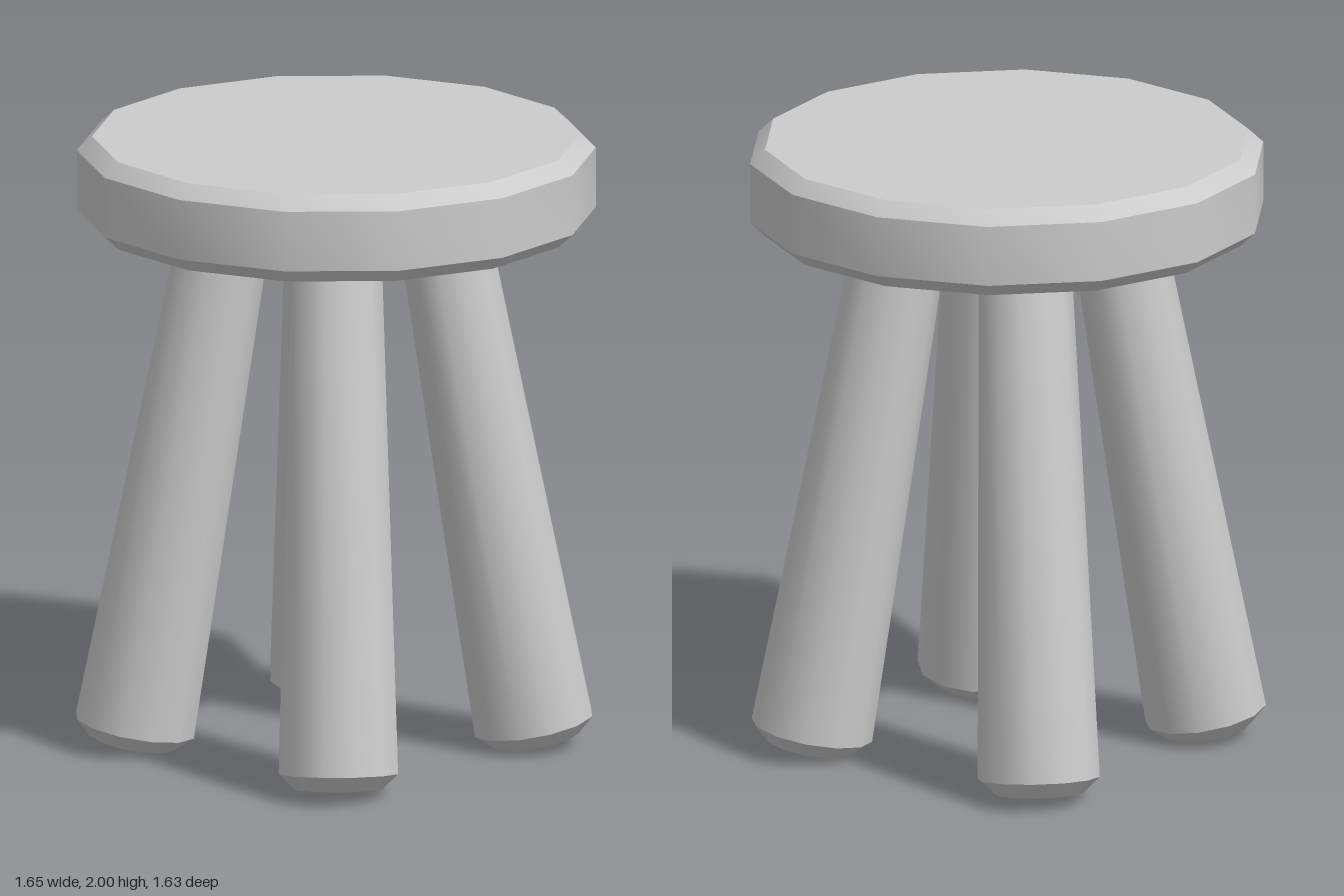
import * as THREE from 'three';
import { toCreasedNormals } from 'three/addons/utils/BufferGeometryUtils.js';

const material = new THREE.MeshStandardMaterial({ color: 0xcccccc });

// Turned solid from [radius, height] pairs, bottom to top; bevels stay sharp
function turned(profile, sides, startAngle) {
  const points = profile.map(([r, y]) => new THREE.Vector2(r, y));
  return toCreasedNormals(new THREE.LatheGeometry(points, sides, startAngle), 0.6);
}

export function createModel() {
  const stool = new THREE.Group();
  stool.name = 'stool';

  // Round seat with bevelled rims
  const seat = new THREE.Mesh(turned([
    [0, 1.715], [0.775, 1.715], [0.823, 1.76], [0.823, 1.955], [0.775, 2], [0, 2],
  ], 14, Math.PI / 2), material);
  seat.name = 'seat';
  seat.position.set(0.002, 0, -0.003);
  stool.add(seat);

  // Four tapered legs splayed outwards, tops sunk into the seat
  const legGeometry = turned([
    [0, 0], [0.142, 0], [0.195, 0.05], [0.147, 1.74], [0, 1.74],
  ], 12, Math.PI / 12);
  ['leftLeg', 'backLeg', 'rightLeg', 'frontLeg'].forEach((name, i) => {
    const pivot = new THREE.Group();
    pivot.name = name;
    pivot.rotation.y = i * Math.PI / 2;
    pivot.position.x = -0.005;
    const leg = new THREE.Mesh(legGeometry, material);
    leg.name = name + 'Post';
    leg.position.set(0.64, 0.024, 0);
    leg.rotation.z = THREE.MathUtils.degToRad(10);
    pivot.add(leg);
    stool.add(pivot);
  });

  return stool;
}
